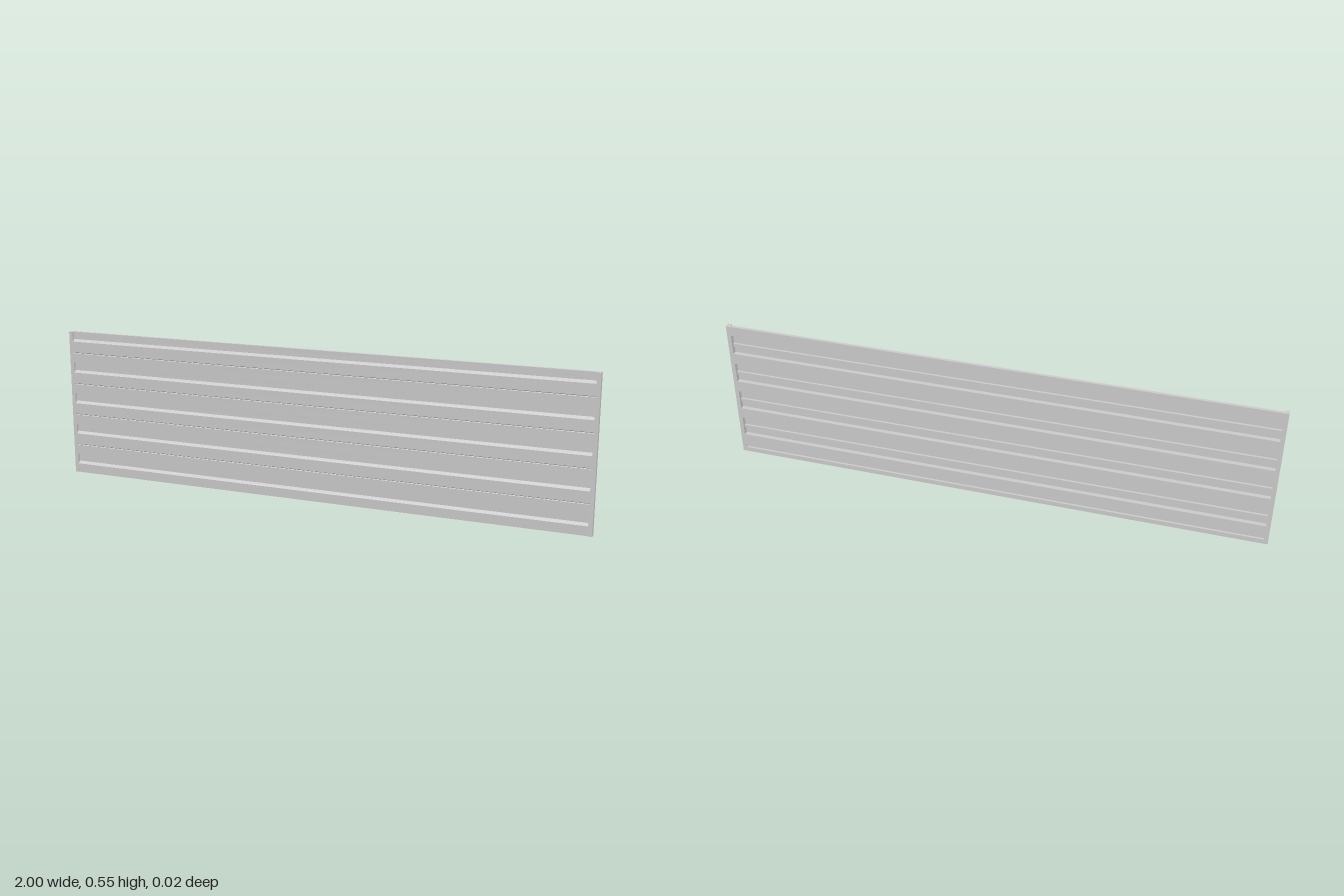
import * as THREE from 'three';

const HEIGHT = 0.552, DEPTH = 0.02, POST = 0.015;
const PITCH = 0.12, FRONT = DEPTH / 2, BACK = -DEPTH / 2;

export function createModel() {
  const model = new THREE.Group();
  model.name = 'ribbedPanel';
  const material = new THREE.MeshStandardMaterial({ color: 0xcccccc, flatShading: true });

  // Cross-section of the corrugated sheet as [z, y], going up the front
  const floor = 0.001;
  const profile = [[0.007, 0], [0.007, 0.015], [FRONT, 0.015], [FRONT, 0.035], [floor, 0.044]];
  for (let i = 0; i < 4; i++) {
    const y = 0.075 + i * PITCH;
    profile.push(
      [floor, y], [FRONT, y],
      [FRONT, y + 0.035], [FRONT - 0.002, y + 0.037], [FRONT, y + 0.039],
      [FRONT, y + 0.08], [floor, y + 0.089]);
  }
  profile.push([floor, HEIGHT], [BACK, HEIGHT]);

  // Down the back: deep slots, each with a small rib in the middle
  for (let i = 3; i >= 0; i--) {
    const y = 0.075 + i * PITCH;
    profile.push(
      [BACK, y + 0.08], [0.006, y + 0.08],
      [0.006, y + 0.042], [-0.002, y + 0.042], [-0.002, y + 0.032], [0.006, y + 0.032],
      [0.006, y + 0.003], [BACK, y + 0.003]);
  }
  // Narrow groove in the bottom rail
  profile.push([BACK, 0.03], [-0.002, 0.03], [-0.002, 0.018], [BACK, 0.018], [BACK, 0]);

  const length = 2 - 2 * POST;
  const shape = new THREE.Shape(profile.map(([z, y]) => new THREE.Vector2(z, y)));
  const sheetGeometry = new THREE.ExtrudeGeometry(shape, { depth: length, bevelEnabled: false });
  sheetGeometry.translate(0, 0, -length / 2).rotateY(-Math.PI / 2);
  const sheet = new THREE.Mesh(sheetGeometry, material);
  sheet.name = 'corrugatedSheet';
  model.add(sheet);

  // End posts closing the sheet
  for (const side of [-1, 1]) {
    const post = new THREE.Mesh(new THREE.BoxGeometry(POST, HEIGHT, DEPTH), material);
    post.position.set(side * (1 - POST / 2), HEIGHT / 2, 0);
    post.name = side > 0 ? 'leftEndPost' : 'rightEndPost';
    model.add(post);
  }
  return model;
}
